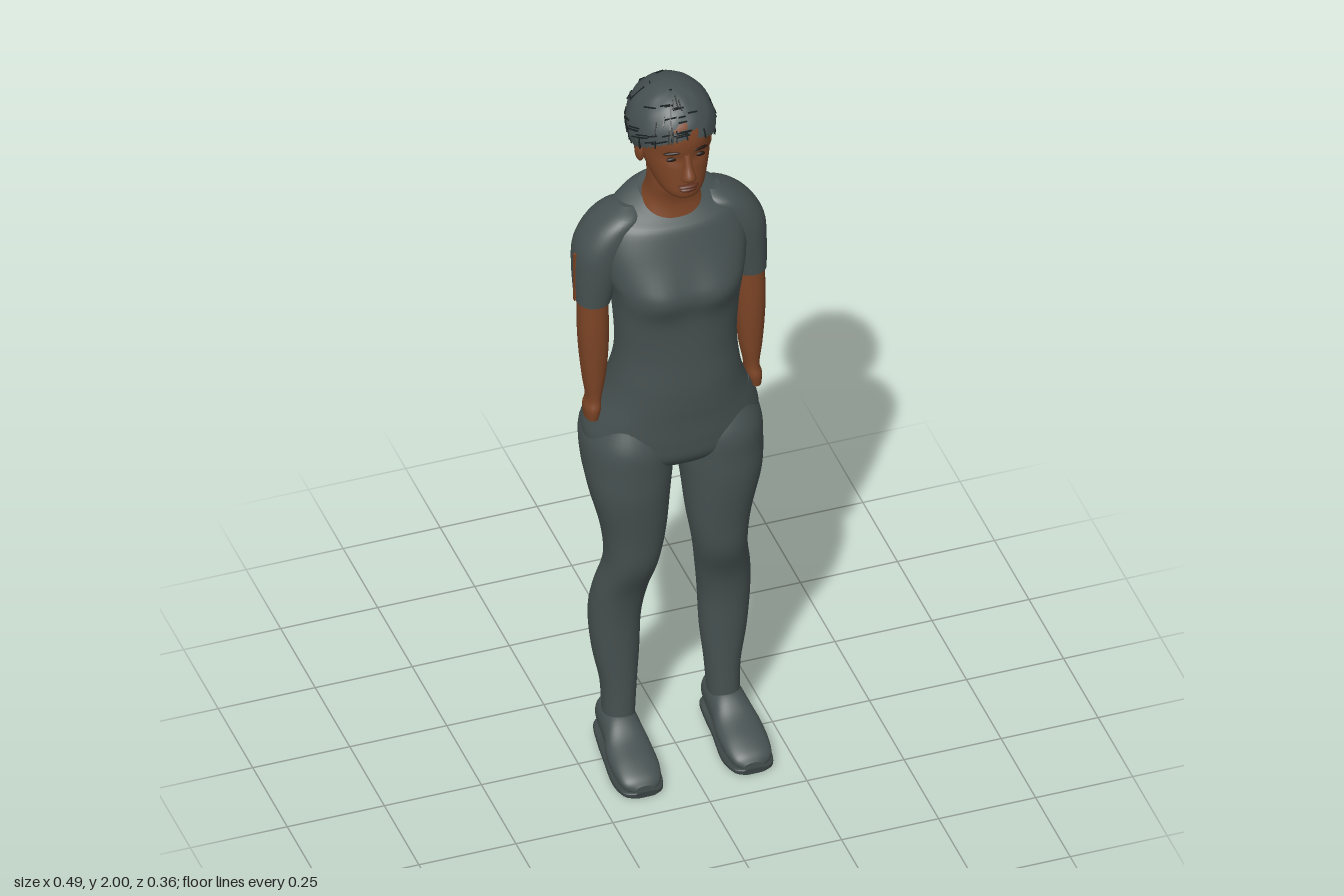
import * as THREE from 'three';

const mat = (name, color) => Object.assign(new THREE.MeshStandardMaterial({ color }), { name });

// Smooth body from cross-sections [y, xMin, xMax, zFront, zBack, roundness], listed top to bottom
function loft(rings, { n = 40, steps = 5, warp = null, cap = true } = {}) {
  const tracks = [1, 2, 3, 4, 5].map(k =>
    new THREE.SplineCurve(rings.map(r => new THREE.Vector2(r[0], r[k] ?? 2.2))));
  const rows = (rings.length - 1) * steps;
  const pos = [], idx = [];
  const pow = (v, e) => Math.sign(v) * Math.pow(Math.abs(v), 2 / e);
  for (let j = 0; j <= rows; j++) {
    const pts = tracks.map(c => c.getPoint(j / rows));
    const [x0, x1, zf, zb, e] = pts.map(p => p.y);
    for (let i = 0; i < n; i++) {
      const a = i / n * Math.PI * 2;
      const p = new THREE.Vector3((x0 + x1) / 2 + (x1 - x0) / 2 * pow(Math.cos(a), e),
        pts[0].x, (zf + zb) / 2 + (zf - zb) / 2 * pow(Math.sin(a), e));
      if (warp) warp(p);
      pos.push(p.x, p.y, p.z);
    }
  }
  for (let j = 0; j < rows; j++) for (let i = 0; i < n; i++) {
    const a = j * n + i, b = j * n + (i + 1) % n;
    idx.push(a, b, a + n, b, b + n, a + n);
  }
  if (cap) for (const row of [0, rows]) {
    const base = pos.length / 3, c = [0, 0, 0];
    for (let i = 0; i < n; i++) for (let k = 0; k < 3; k++) {
      const v = pos[(row * n + i) * 3 + k];
      pos.push(v);
      c[k] += v / n;
    }
    pos.push(...c);
    for (let i = 0; i < n; i++) {
      const a = base + i, b = base + (i + 1) % n;
      row ? idx.push(base + n, a, b) : idx.push(base + n, b, a);
    }
  }
  const g = new THREE.BufferGeometry();
  g.setAttribute('position', new THREE.Float32BufferAttribute(pos, 3));
  g.setIndex(idx);
  g.computeVertexNormals();
  return g;
}

const side = (rings, s) => s > 0 ? rings : rings.map(([y, a, b, ...r]) => [y, -b, -a, ...r]);
const bump = (d, w) => Math.exp(-(d * d) / (w * w));

export function createModel() {
  const model = new THREE.Group();
  const cloth = mat('charcoal cloth', 0x465050), skin = mat('brown skin', 0x7a4325);
  const hairMat = mat('hair', 0x465051), strandMat = mat('dark strands', 0x1b2122);
  const lipMat = mat('lips', 0x5c2d1c), dark = mat('eyes and brows', 0x21150f);
  const soleMat = mat('shoe sole', 0x3a4343);
  const add = (name, geo, m, parent = model) => {
    const mesh = new THREE.Mesh(geo, m);
    mesh.name = name;
    parent.add(mesh);
    return mesh;
  };
  const ball = (name, m, [x, y, z], [rx, ry, rz], parent) => {
    const b = add(name, new THREE.SphereGeometry(1, 20, 14), m, parent);
    b.position.set(x, y, z);
    b.scale.set(rx, ry, rz);
    return b;
  };

  // Shirt body, with bust, spine groove and a collar dipping at the front
  add('shirt', loft([
    [1.665, -.075, .075, .005, -.115], [1.645, -.125, .125, .03, -.13], [1.61, -.168, .168, .05, -.138],
    [1.55, -.185, .185, .075, -.143, 2.4], [1.48, -.178, .178, .1, -.138, 2.6], [1.43, -.163, .163, .113, -.124, 2.7],
    [1.36, -.156, .156, .104, -.105, 2.5], [1.25, -.152, .152, .104, -.105], [1.16, -.163, .163, .109, -.132],
    [1.1, -.18, .18, .108, -.16], [1.058, -.199, .199, .105, -.178],
  ], { n: 56, warp: p => {
    if (p.z > 0) p.z += .014 * bump(Math.abs(p.x) - .07, .06) * bump(p.y - 1.44, .06);
    else p.z += .014 * bump(p.x, .03) * bump(p.y - 1.42, .16);
    p.y -= (p.z + .05) * .32 * THREE.MathUtils.smoothstep(p.y, 1.6, 1.665);
  } }), cloth);

  // Trouser hips with a seat cleft
  add('hips', loft([
    [1.075, -.193, .193, .1, -.165], [1.03, -.212, .212, .098, -.18], [.98, -.222, .222, .096, -.18],
    [.93, -.205, .205, .088, -.15], [.89, -.12, .12, .05, -.09], [.875, -.05, .05, .01, -.04],
  ], { n: 56, warp: p => {
    if (p.z < 0) p.z += .025 * bump(p.x, .028) * bump(p.y - .95, .07);
  } }), cloth);

  for (const s of [1, -1]) {
    const tag = s > 0 ? 'left' : 'right';
    add(tag + 'Leg', loft(side([
      [1.03, .04, .195, .07, -.15], [.97, .008, .223, .094, -.176], [.9, .006, .226, .096, -.156],
      [.82, .018, .217, .095, -.112], [.7, .03, .189, .081, -.08], [.6, .047, .181, .068, -.072],
      [.5, .064, .199, .03, -.092], [.41, .076, .205, .014, -.11], [.3, .081, .196, .01, -.105],
      [.2, .09, .178, .01, -.09], [.11, .096, .174, .012, -.085],
    ], s)), cloth);

    // Sleeve with rounded shoulder
    add(tag + 'Sleeve', loft(side([
      [1.648, .085, .13, -.025, -.075], [1.63, .075, .168, .01, -.11], [1.595, .085, .21, .022, -.125],
      [1.54, .1, .241, .026, -.128], [1.47, .13, .246, .022, -.118], [1.388, .158, .244, .014, -.092],
    ], s)), cloth);

    // Forearm reaching into the pocket
    add(tag + 'Arm', loft(side([
      [1.42, .165, .237, .006, -.08], [1.32, .164, .24, .012, -.075], [1.24, .166, .237, .012, -.07],
      [1.16, .174, .23, .008, -.06], [1.1, .185, .222, .004, -.054], [1.07, .187, .228, .01, -.058],
      [1.04, .193, .226, .006, -.055],
    ], s)), skin);

    // Shoe: sections run from toe to heel, then are laid along z
    const lay = g => g.rotateX(Math.PI / 2);
    add(tag + 'Shoe', lay(loft(side([
      [.176, .115, .165, -.008, -.03], [.16, .095, .19, -.008, -.048], [.12, .084, .199, -.01, -.068],
      [.06, .083, .199, -.014, -.09], [.01, .089, .188, -.018, -.122], [-.04, .091, .183, -.028, -.132],
      [-.085, .096, .177, -.034, -.132], [-.099, .112, .162, -.04, -.1],
    ], s))), cloth);
    add(tag + 'Sole', lay(loft(side([
      [.181, .112, .168, 0, -.016, 4], [.165, .091, .193, 0, -.017, 4], [.11, .079, .203, 0, -.019, 4],
      [.02, .087, .195, -.008, -.026, 4], [-.035, .089, .189, -.012, -.034, 4],
      [-.085, .092, .182, -.024, -.046, 4], [-.103, .11, .166, -.028, -.048, 4],
    ], s))), soleMat);
  }

  // Arm showing through the open seam of the right sleeve
  add('sleeveSlit', new THREE.BoxGeometry(.006, .14, .008), skin).position.set(-.2455, 1.46, -.038);

  // Neck and head
  add('neck', loft([
    [1.78, -.058, .058, .03, -.11], [1.72, -.059, .059, .03, -.092], [1.68, -.064, .064, .022, -.1],
    [1.65, -.078, .078, .022, -.11], [1.6, -.1, .1, .035, -.11],
  ]), skin);
  const head = new THREE.Group();
  head.name = 'head';
  model.add(head);
  add('face', loft([
    [1.975, -.05, .05, .035, -.09], [1.94, -.08, .08, .072, -.125], [1.9, -.087, .087, .088, -.13],
    [1.86, -.086, .086, .089, -.13], [1.82, -.082, .082, .09, -.115], [1.78, -.07, .07, .094, -.08],
    [1.75, -.056, .056, .096, -.04], [1.732, -.038, .038, .09, -.01], [1.725, -.015, .015, .07, .02],
  ], { warp: p => {
    if (p.z > 0) p.z -= .008 * bump(Math.abs(p.x) - .035, .02) * bump(p.y - 1.847, .016);
  } }), skin, head);
  add('nose', loft([
    [1.86, -.009, .009, .092, .07], [1.83, -.011, .011, .104, .07], [1.805, -.017, .017, .117, .07],
    [1.793, -.019, .019, .113, .07], [1.786, -.01, .01, .1, .07],
  ], { n: 20 }), skin, head);
  ball('upperLip', lipMat, [0, 1.771, .094], [.027, .006, .011], head);
  ball('lowerLip', lipMat, [0, 1.761, .093], [.023, .007, .011], head);
  for (const s of [1, -1]) {
    ball('ear', skin, [s * .086, 1.825, -.018], [.012, .033, .02], head);
    ball('eye', dark, [s * .035, 1.846, .074], [.015, .006, .006], head);
    const brow = ball('brow', dark, [s * .037, 1.868, .08], [.021, .004, .005], head);
    brow.rotation.set(0, s * .3, s * -.08);
  }

  // Close-cropped hair: a cap whose hairline drops from forehead to nape
  const centre = new THREE.Vector3(0, 1.881, -.036);
  const limit = az => THREE.MathUtils.lerp(1.36, 2.66, Math.pow((1 - Math.cos(az)) / 2, .85));
  const onHair = (az, t, lift = 0) => {
    const th = t * limit(az), r = 1 + lift + .012 * Math.sin(az * 9 + th * 5) * Math.sin(th * 8) * Math.sin(th);
    return new THREE.Vector3(.108 * Math.sin(th) * Math.sin(az), .116 * Math.cos(th),
      .126 * Math.sin(th) * Math.cos(az)).multiplyScalar(r).add(centre);
  };
  const hair = new THREE.SphereGeometry(1, 64, 32), hp = hair.attributes.position, uv = hair.attributes.uv;
  for (let i = 0; i < hp.count; i++) {
    const p = onHair(uv.getX(i) * Math.PI * 2, 1 - uv.getY(i));
    hp.setXYZ(i, p.x, p.y, p.z);
  }
  hair.computeVertexNormals();
  hairMat.side = THREE.DoubleSide;
  add('hair', hair, hairMat, head);

  // Criss-cross loose strands, denser on the right of the crown
  let seed = 7;
  const rnd = () => (seed = (seed * 16807) % 2147483647) / 2147483647;
  for (let i = 0; i < 110; i++) {
    const az = i % 3 ? Math.PI * (1 + rnd()) : rnd() * Math.PI * 2;
    const t = .15 + .8 * Math.sqrt(rnd());
    const a = onHair(az, t, .012);
    const b = i % 2 ? onHair(az + (.2 + .2 * rnd()), t, .02) : onHair(az, Math.min(1, t + .13 + .1 * rnd()), .02);
    const strand = add('strand', new THREE.BoxGeometry(.003, .003, a.distanceTo(b)), strandMat, head);
    strand.position.copy(a).add(b).multiplyScalar(.5);
    strand.lookAt(b);
  }
  return model;
}
